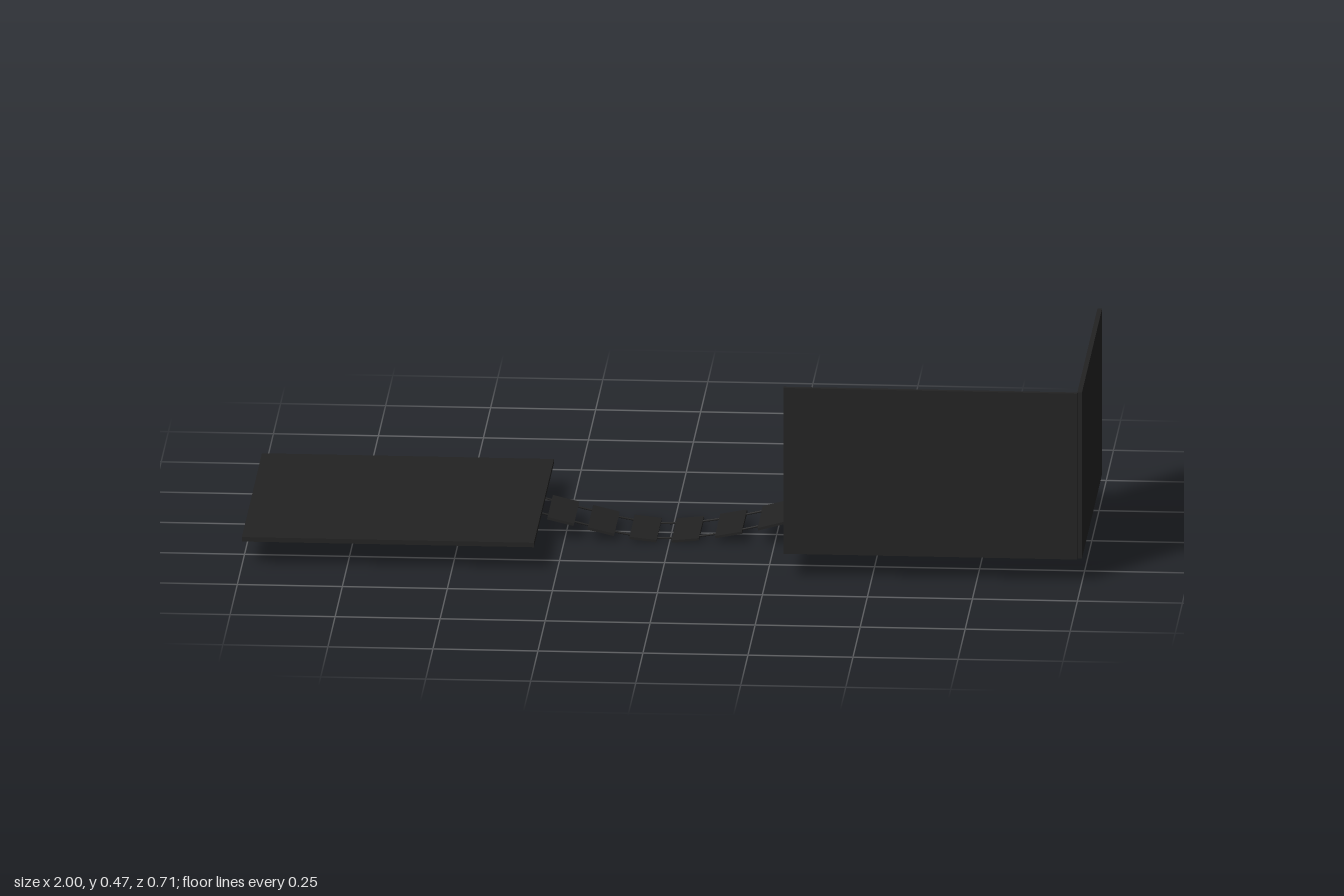
import * as THREE from 'three';

export function createModel() {
  const model = new THREE.Group();
  model.name = 'bridgedPlatforms';

  const charcoal = new THREE.MeshStandardMaterial({ color: 0x222222 });
  charcoal.name = 'charcoal';
  const paleGrey = new THREE.MeshStandardMaterial({ color: 0xaaaaaa });
  paleGrey.name = 'paleGrey';

  // Box given by its minimum and maximum corners
  function block(name, min, max, material = charcoal, parent = model) {
    const size = max.map((v, i) => v - min[i]);
    const mesh = new THREE.Mesh(new THREE.BoxGeometry(...size), material);
    mesh.position.set(...max.map((v, i) => (v + min[i]) / 2));
    mesh.name = name;
    parent.add(mesh);
    return mesh;
  }

  // Two floors, and the walls on the left one
  block('rightFloor', [-1, 0.06, -0.355], [-0.305, 0.071, 0.34]);
  block('leftFloor', [0.29, 0.06, -0.355], [0.989, 0.071, 0.342]);
  block('frontWall', [0.29, 0.06, 0.342], [0.989, 0.471, 0.353]);
  block('sideWall', [0.989, 0.06, -0.355], [1, 0.471, 0.342]);
  block('wallScreen', [0.512, 0.125, 0.335], [0.775, 0.4, 0.342], paleGrey);

  // Sagging bridge
  const bridge = new THREE.Group();
  bridge.name = 'bridge';
  model.add(bridge);
  const sag = new THREE.CatmullRomCurve3([
    [-0.305, 0.06], [-0.2, 0.034], [-0.1, 0.012], [-0.01, 0.004],
    [0.09, 0.014], [0.2, 0.036], [0.29, 0.06],
  ].map(([x, y]) => new THREE.Vector3(x, y, 0)));

  for (const z of [-0.067, 0.057]) {
    const rope = new THREE.Mesh(new THREE.TubeGeometry(sag, 32, 0.0025, 6), charcoal);
    rope.position.z = z;
    rope.name = 'rope';
    bridge.add(rope);
  }

  const samples = sag.getSpacedPoints(200);
  const heightAt = (x) => samples.reduce((a, b) => (Math.abs(b.x - x) < Math.abs(a.x - x) ? b : a)).y;
  for (const x of [-0.259, -0.163, -0.063, 0.038, 0.141, 0.242]) {
    const y0 = heightAt(x - 0.032), y1 = heightAt(x + 0.032);
    const plank = new THREE.Mesh(new THREE.BoxGeometry(0.065, 0.006, 0.184), charcoal);
    plank.position.set(x, (y0 + y1) / 2, -0.007);
    plank.rotation.z = Math.atan2(y1 - y0, 0.064);
    plank.name = 'plank';
    bridge.add(plank);
  }

  // Small open cage lamp standing on the left floor
  const lamp = new THREE.Group();
  lamp.name = 'lamp';
  lamp.position.set(0.754, 0.071, 0.19);
  model.add(lamp);
  const r = 0.018, t = 0.007, h = 0.038;
  for (const s of [-1, 1]) {
    for (const q of [-1, 1]) {
      const x = s * (r - t / 2), z = q * (r - t / 2);
      block('lampPost', [x - t / 2, 0, z - t / 2], [x + t / 2, h, z + t / 2], charcoal, lamp);
    }
    for (const y of [0, h - t]) {
      const c = s * (r - t / 2);
      block('lampRail', [-r + t, y, c - t / 2], [r - t, y + t, c + t / 2], charcoal, lamp);
      block('lampRail', [c - t / 2, y, -r + t], [c + t / 2, y + t, r - t], charcoal, lamp);
    }
  }
  const bulb = new THREE.Mesh(new THREE.SphereGeometry(0.012, 16, 10), paleGrey);
  bulb.position.y = h / 2;
  bulb.name = 'lampBulb';
  lamp.add(bulb);

  return model;
}
